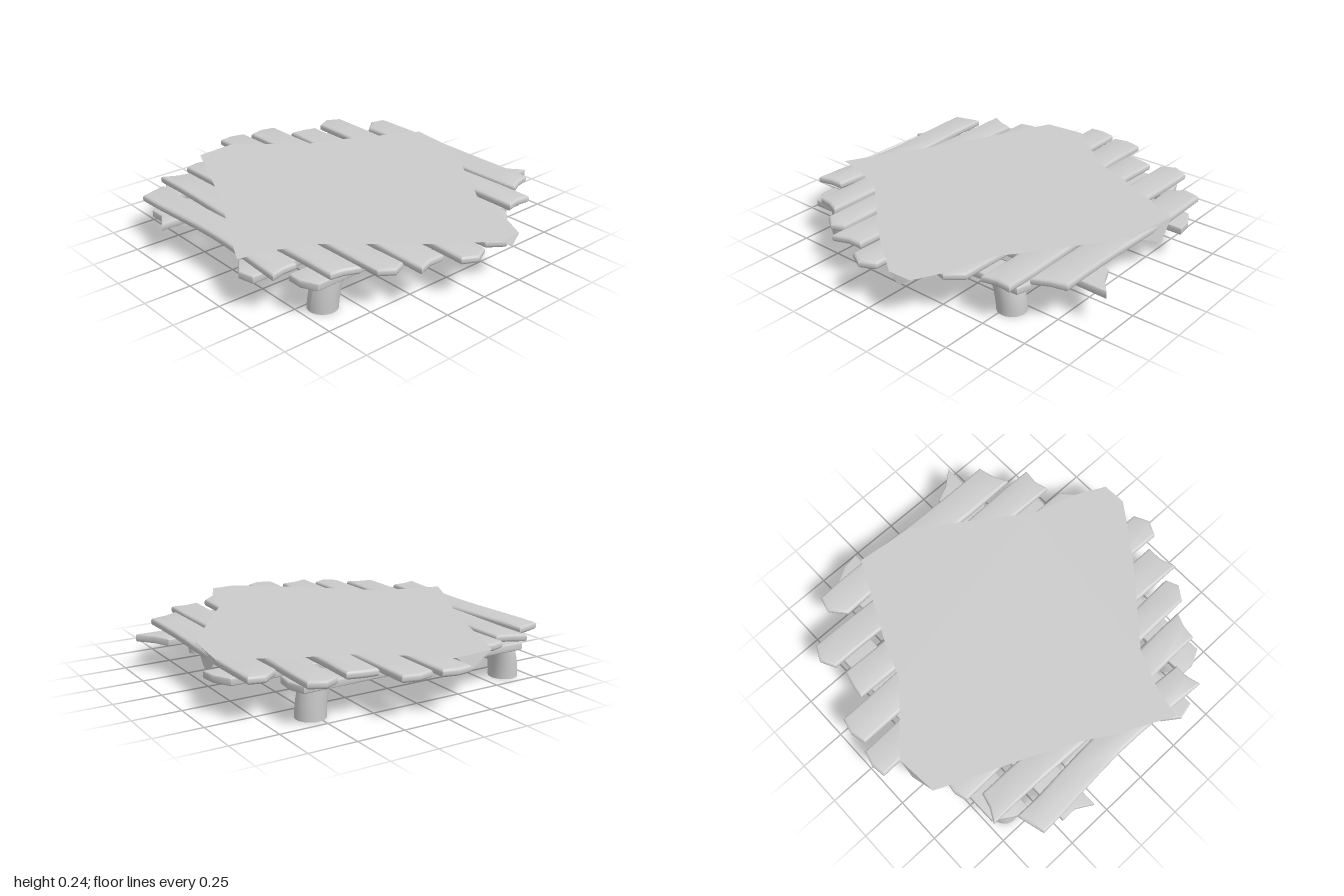
import * as THREE from 'three';
import { toCreasedNormals } from 'three/addons/utils/BufferGeometryUtils.js';

const material = new THREE.MeshStandardMaterial({ color: 0xcccccc });
const openMaterial = new THREE.MeshStandardMaterial({ color: 0xcccccc, side: THREE.DoubleSide });

// Each row: the two side edges, then three points of the start end and three of the far end
const planks = [
  [-0.83, -0.66, -0.61, -0.63, -0.56, 0.54, 0.56, 0.6],
  [-0.63, -0.47, -0.8, -0.84, -0.8, 0.72, 0.71, 0.73],
  [-0.42, -0.26, -0.78, -0.8, -0.81, 0.76, 0.83, 0.81],
  [-0.24, -0.07, -0.95, -0.97, -0.95, 0.9, 0.98, 0.92],
  [-0.03, 0.13, -0.98, -1, -0.99, 0.96, 1, 0.96],
  [0.16, 0.33, -0.88, -0.87, -0.85, 0.88, 0.88, 0.91],
  [0.36, 0.5, -0.78, -0.79, -0.77, 0.81, 0.84, 0.79],
  [0.54, 0.69, -0.69, -0.71, -0.75, 0.72, 0.69, 0.68],
  [0.72, 0.87, -0.64, -0.62, -0.6, 0.5, 0.5, 0.52],
];
const beams = [
  [-0.48, -0.31, -0.85, -0.9, -0.91, 0.9, 0.9, 0.95],
  [0.25, 0.42, -0.85, -0.89, -0.96, 0.88, 0.94, 0.92],
  [-0.74, -0.56, -0.62, -0.65, -0.64, 0.66, 0.72, 0.76],
  [0.5, 0.66, -0.6, -0.65, -0.63, 0.78, 0.78, 0.74],
];

// Outline of a board: ragged ends joined by gently waving sides
function boardOutline([near, far, a0, a1, a2, b0, b1, b2], wave, phase) {
  const sway = (u) => wave * Math.sin(u * 5 + phase);
  const points = [];
  for (let i = 0; i <= 8; i++) {
    const u = THREE.MathUtils.lerp(a0, b0, i / 8);
    points.push([u, near + sway(u)]);
  }
  points.push([b1, (near + far) / 2 + sway(b1)]);
  for (let i = 0; i <= 8; i++) {
    const u = THREE.MathUtils.lerp(b2, a2, i / 8);
    points.push([u, far + sway(u)]);
  }
  points.push([a1, (near + far) / 2 + sway(a1)]);
  return points;
}

// Rounded board from an [x, z] outline lying between two heights
function board(name, outline, bottom, top, round) {
  const shape = new THREE.Shape(outline.map(([x, z]) => new THREE.Vector2(x, -z)));
  const geometry = new THREE.ExtrudeGeometry(shape, {
    depth: top - bottom - 2 * round, bevelThickness: round, bevelSize: round,
    bevelOffset: -round, bevelSegments: 3,
  });
  geometry.rotateX(-Math.PI / 2).translate(0, bottom + round, 0);
  const mesh = new THREE.Mesh(toCreasedNormals(geometry, 0.7), material);
  mesh.name = name;
  return mesh;
}

// Open log leg whose rings slide sideways towards its foot
function leg(name, x, footZ, topZ) {
  const height = 0.18;
  const geometry = new THREE.CylinderGeometry(0.075, 0.076, height, 24, 6, true).translate(0, height / 2, 0);
  const p = geometry.attributes.position;
  for (let i = 0; i < p.count; i++) {
    const t = p.getY(i) / height;
    p.setX(i, p.getX(i) + x + (x > 0 ? 0.012 * t : 0));
    p.setZ(i, p.getZ(i) + footZ + (topZ - footZ) * t * t);
  }
  geometry.computeVertexNormals();
  const mesh = new THREE.Mesh(geometry, openMaterial);
  mesh.name = name;
  return mesh;
}

// Hanging triangle of cloth between two top corners and a tip
function flap(name, from, tip, to) {
  const geometry = new THREE.BufferGeometry().setFromPoints([from, tip, to].map((c) => new THREE.Vector3(...c)));
  geometry.computeVertexNormals();
  const mesh = new THREE.Mesh(geometry, openMaterial);
  mesh.name = name;
  return mesh;
}

// Thin cloth laid over the planks, with three drooping corners
function cloth() {
  const y = 0.242;
  const outline = [
    [-0.31, -0.845], [0, -0.81], [0.42, -0.52], [0.55, -0.42], [0.83, -0.33], [0.97, -0.26],
    [0.975, -0.13], [0.77, 0.15], [0.42, 0.55], [0.34, 0.74], [0.3, 0.92], [0, 0.77],
    [-0.15, 0.68], [-0.4, 0.56], [-0.86, 0.36], [-0.88, 0.13], [-0.6, -0.2], [-0.52, -0.41], [-0.4, -0.66],
  ];
  const shape = new THREE.Shape(outline.map(([x, z]) => new THREE.Vector2(x, -z)));
  const sheet = new THREE.Mesh(new THREE.ShapeGeometry(shape).rotateX(-Math.PI / 2).translate(0, y, 0), openMaterial);
  sheet.name = 'clothSheet';
  const group = new THREE.Group();
  group.name = 'cloth';
  group.add(
    sheet,
    flap('backFlap', [-0.31, y, -0.845], [-0.22, 0.135, -0.85], [0, y, -0.81]),
    flap('leftFlap', [0.97, y, -0.26], [0.985, 0.2, -0.2], [0.975, y, -0.13]),
    flap('rightFlap', [-0.88, y, 0.13], [-0.885, 0.17, 0.22], [-0.86, y, 0.36]),
  );
  return group;
}

export function createModel() {
  const model = new THREE.Group();
  model.name = 'lowPlankTable';
  planks.forEach((row, i) => {
    model.add(board(`plank${i + 1}`, boardOutline(row, i === 8 ? 0.015 : 0.007, i === 8 ? 4.7 : i * 2), 0.2, 0.24, 0.014));
  });
  // Beams run front to back, so their outline is turned
  beams.forEach((row, i) => {
    const outline = boardOutline(row, 0.004, i).map(([u, v]) => [v, u]);
    model.add(board(`beam${i + 1}`, outline, 0.16, 0.2, 0.007));
  });
  for (const [side, x] of [['Right', -0.635], ['Left', 0.565]]) {
    model.add(leg(`front${side}Leg`, x, 0.635, 0.6));
    model.add(leg(`back${side}Leg`, x, -0.525, -0.495));
  }
  model.add(cloth());
  return model;
}
